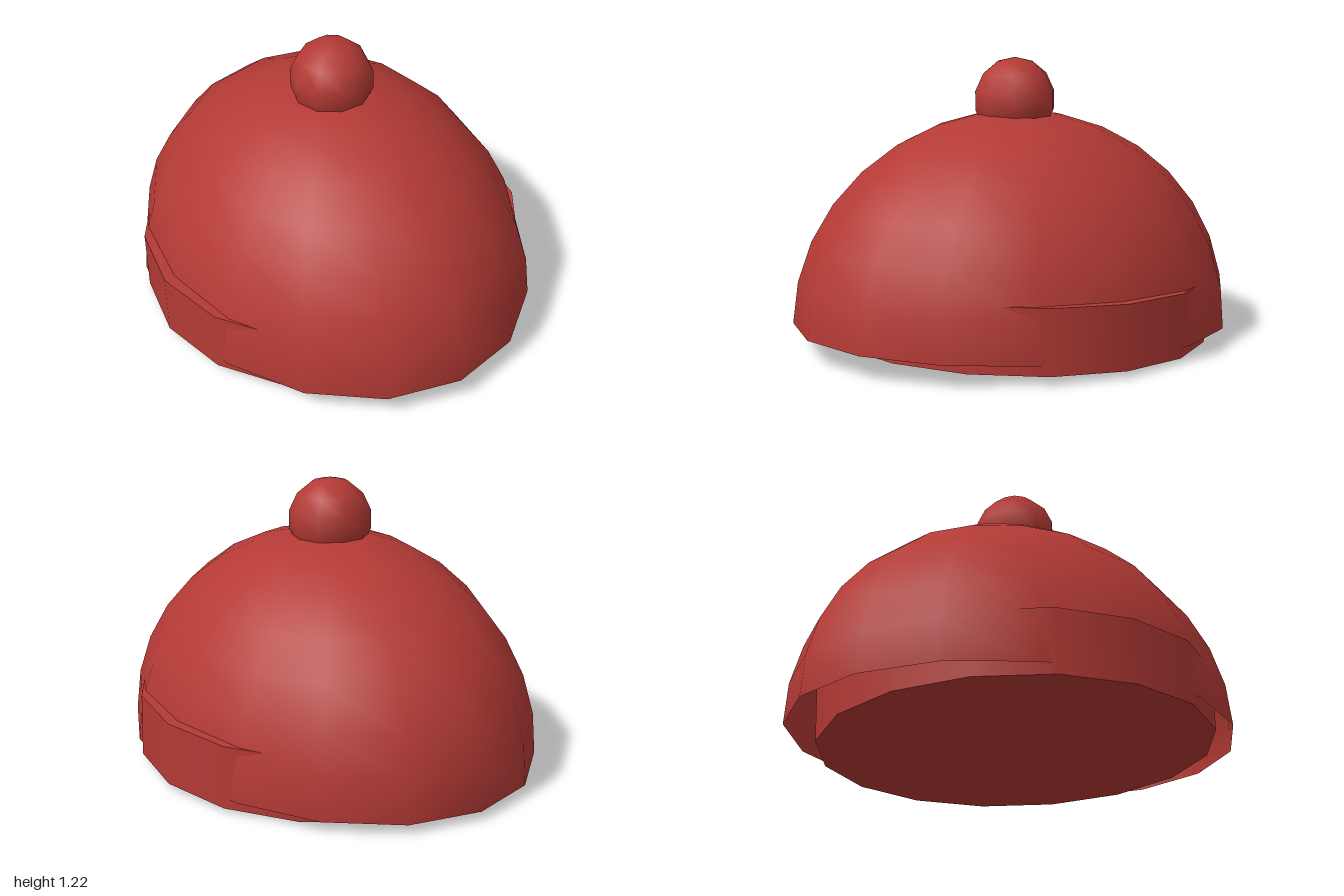
import * as THREE from 'three';

export function createModel() {
  const model = new THREE.Group();
  model.name = 'bobbleHat';
  const wool = new THREE.MeshStandardMaterial({ color: 0xb43a35 });
  const woolOpen = new THREE.MeshStandardMaterial({ color: 0xb43a35, side: THREE.DoubleSide });
  const tilt = -0.033; // the hat sits slightly raised at the front

  const add = (name, geometry, material, y, tiltX = 0) => {
    const mesh = new THREE.Mesh(geometry, material);
    mesh.name = name;
    mesh.position.y = y;
    mesh.rotation.x = tiltX;
    model.add(mesh);
    return mesh;
  };

  // Crown: open half sphere stretched front to back
  const crown = new THREE.SphereGeometry(1, 16, 8, 0, Math.PI * 2, 0, Math.PI / 2);
  crown.scale(0.82, 0.92, 1);
  add('crown', crown, woolOpen, 0.077, tilt);

  // Round closed band that shows through the crown at both sides
  add('band', new THREE.CylinderGeometry(0.84, 0.84, 0.272, 16), wool, 0.169, tilt);

  // Bobble on top
  const bobble = new THREE.SphereGeometry(0.18, 10, 7);
  bobble.scale(1, 1.03, 1);
  add('bobble', bobble, wool, 1.043);

  return model;
}
